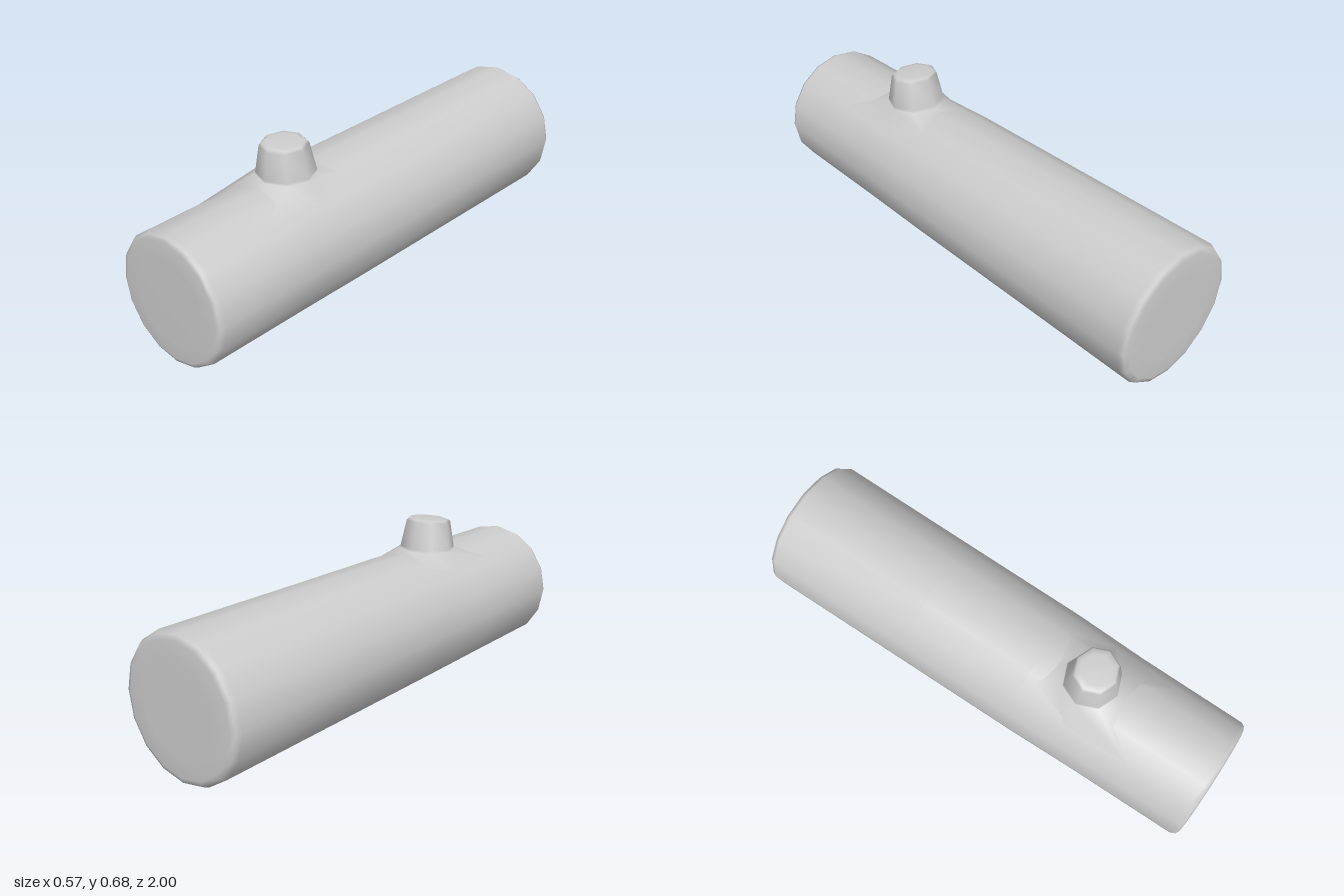
import * as THREE from 'three';

// Joins rings of points (equal length, closed loops) into one smooth skin.
function loft(rings) {
  const n = rings[0].length;
  const index = [];
  for (let i = 0; i < rings.length - 1; i++) {
    for (let j = 0; j < n; j++) {
      const a = i * n + j, b = i * n + (j + 1) % n;
      index.push(a, b, a + n, b, b + n, a + n);
    }
  }
  const geometry = new THREE.BufferGeometry();
  geometry.setAttribute('position', new THREE.Float32BufferAttribute(rings.flat(2), 3));
  geometry.setIndex(index);
  geometry.computeVertexNormals();
  return geometry;
}

// Trunk stations from front to back: z, radius
const SIDES = 16, FLOOR = 0.003;
const STATIONS = [[0.975, 0.262], [0.52, 0.267], [0.2, 0.276], [-0.3, 0.28], [-0.965, 0.286]];

function radiusAt(z) {
  for (let i = 0; i < STATIONS.length - 1; i++) {
    const [z0, r0] = STATIONS[i], [z1, r1] = STATIONS[i + 1];
    if (z >= z1) return THREE.MathUtils.mapLinear(z, z0, z1, r0, r1);
  }
  return STATIONS[STATIONS.length - 1][1];
}

function trunkRing(z, r, cy, tilt = 0) {
  return Array.from({ length: SIDES }, (_, j) => {
    const a = j / SIDES * Math.PI * 2;
    const dy = r * Math.cos(a);
    return [r * Math.sin(a), cy + dy, z + dy * tilt];
  });
}

function trunkGeometry() {
  const front = 0.265, back = 0.289, tilt = 0.022;
  return loft([
    // front end with rounded rim
    trunkRing(1, 0, front),
    trunkRing(1, 0.17, front),
    trunkRing(0.999, 0.238, front),
    trunkRing(0.992, 0.254, front),
    // bark
    ...STATIONS.map(([z, r]) => trunkRing(z, r, r + FLOOR, z < -0.9 ? 0.015 : 0)),
    // back end, leaning slightly, with rounded rim
    trunkRing(-0.985, 0.276, back, tilt),
    trunkRing(-0.993, 0.255, back, tilt),
    trunkRing(-0.994, 0.18, back, tilt),
    trunkRing(-0.994, 0, back, tilt),
  ]);
}

function stubGeometry() {
  const n = 8;
  const ring = (y, zc, rx, rz, slope) => Array.from({ length: n }, (_, j) => {
    const a = j / n * Math.PI * 2;
    const dz = rz * Math.cos(a);
    return [rx * Math.sin(a), y - dz * slope, zc + dz];
  });
  // flared root lying on the trunk: x, z from front round to back, then mirrored
  const half = [[0, 0.57], [0.18, 0.7], [0.194, 0.41], [0.12, 0.23], [0, 0.26]];
  const outline = [...half, ...half.slice(1, 4).reverse().map(([x, z]) => [-x, z])];
  const root = outline.map(([x, z]) => {
    const r = radiusAt(z);
    return [x, FLOOR + r + Math.sqrt(r * r - x * x) - 0.003, z];
  });
  const geometry = loft([
    root,
    ring(0.55, 0.415, 0.12, 0.115, 0.04),
    ring(0.56, 0.416, 0.117, 0.112, 0.05),
    ring(0.668, 0.422, 0.097, 0.089, 0.08),
    ring(0.677, 0.422, 0.087, 0.08, 0.09),
    ring(0.681, 0.422, 0.065, 0.06, 0.09),
    ring(0.682, 0.422, 0, 0, 0),
  ]);
  // root edge shades like the trunk below it
  const normal = geometry.attributes.normal;
  root.forEach(([x, y, z], j) => {
    const v = new THREE.Vector3(x, y - radiusAt(z) - FLOOR, 0).normalize();
    normal.setXYZ(j, v.x, v.y, v.z);
  });
  return geometry;
}

export function createModel() {
  const model = new THREE.Group();
  model.name = 'log';
  const grey = new THREE.MeshStandardMaterial({ color: 0xcccccc });
  grey.name = 'plain grey';

  const trunk = new THREE.Mesh(trunkGeometry(), grey);
  trunk.name = 'trunk';
  const stub = new THREE.Mesh(stubGeometry(), grey);
  stub.name = 'branchStub';
  model.add(trunk, stub);
  return model;
}
